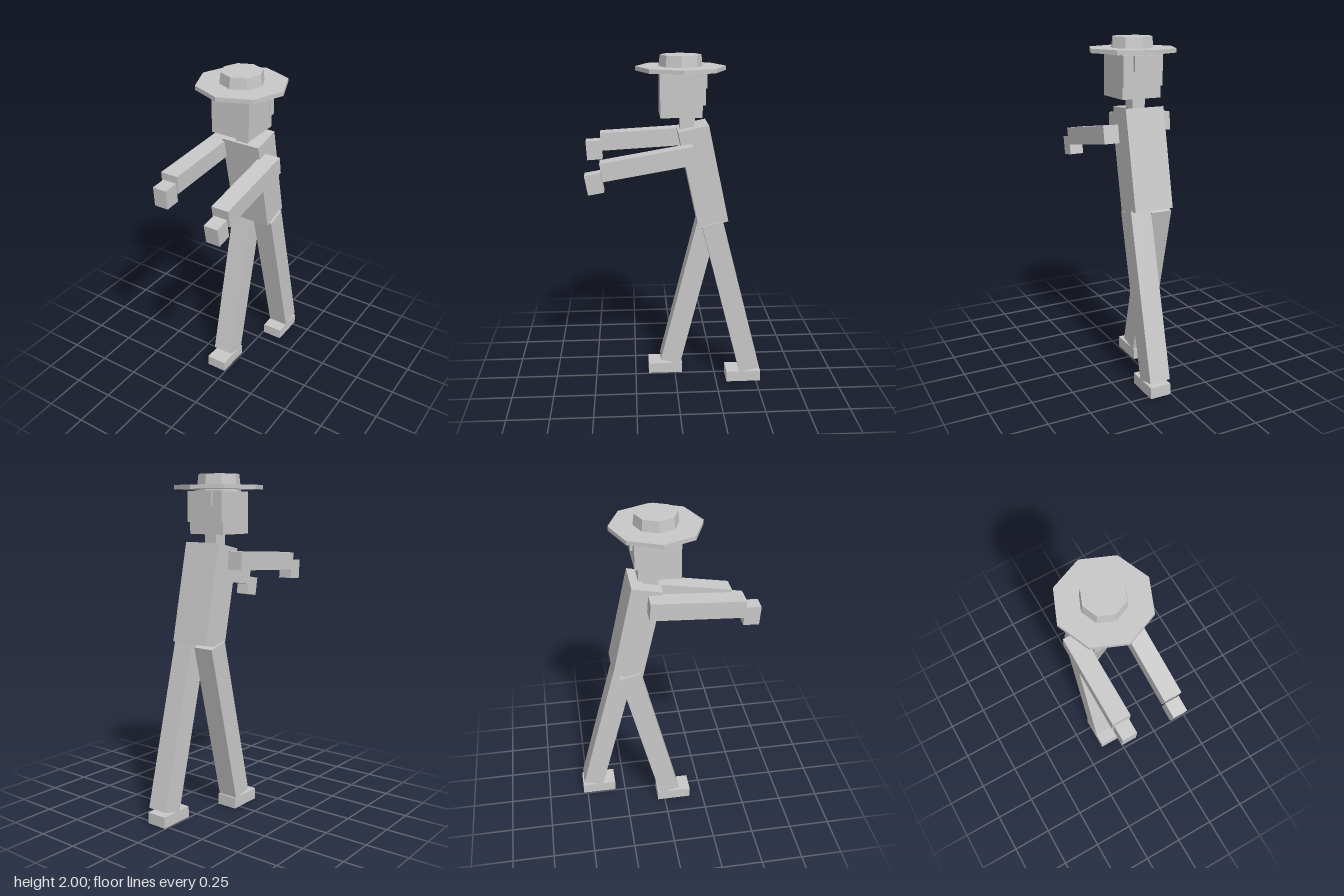
import * as THREE from 'three';

const deg = THREE.MathUtils.degToRad;

export function createModel() {
  const model = new THREE.Group();
  model.name = 'walkingFigure';

  const plainGrey = new THREE.MeshStandardMaterial({ color: 0xc8c8c8, flatShading: true });
  plainGrey.name = 'plainGrey';

  function add(name, geometry, position, tilt = 0, parent = model) {
    const mesh = new THREE.Mesh(geometry, plainGrey);
    mesh.name = name;
    mesh.position.set(...position);
    mesh.rotation.x = deg(tilt); // positive tilt leans the top forward
    parent.add(mesh);
    return mesh;
  }
  const box = (name, size, position, tilt, parent) =>
    add(name, new THREE.BoxGeometry(...size), position, tilt, parent);

  // Torso leaning into the stride
  box('torso', [0.24, 0.581, 0.178], [0, 1.313, -0.159], 12.1);

  // Neck, head and hair
  box('neck', [0.08, 0.11, 0.085], [0, 1.61, -0.068]);
  const head = new THREE.Group();
  head.name = 'head';
  model.add(head);
  box('skull', [0.24, 0.24, 0.238], [0, 1.78, -0.029], 0, head);
  box('backHair', [0.248, 0.175, 0.045], [0, 1.817, -0.143], 0, head);
  box('hairKnot', [0.12, 0.085, 0.03], [0, 1.858, -0.164], 0, head);

  // Eight-sided hat
  const hat = new THREE.Group();
  hat.name = 'hat';
  hat.position.z = -0.031;
  model.add(hat);
  add('hatBrim', new THREE.CylinderGeometry(0.258, 0.258, 0.024, 8), [0, 1.925, 0], 0, hat);
  add('hatCrown', new THREE.CylinderGeometry(0.118, 0.13, 0.102, 8), [0, 1.949, 0], 0, hat);

  // Arms reaching forward, the right one held higher
  const arms = [
    { side: 'left', x: 0.161, y: 1.417, z: 0.164, tilt: 9.8, hand: [1.305, 0.468] },
    { side: 'right', x: -0.161, y: 1.499, z: 0.169, tilt: 3.3, hand: [1.432, 0.477] },
  ];
  for (const a of arms) {
    box(a.side + 'Arm', [0.106, 0.105, 0.534], [a.x, a.y, a.z], a.tilt);
    box(a.side + 'Hand', [0.086, 0.114, 0.092], [a.x, ...a.hand], a.tilt);
  }

  // Legs in mid-step: right forward, left back
  const legs = [
    { side: 'left', x: 0.07, z: -0.335, tilt: 14.3, foot: -0.42 },
    { side: 'right', x: -0.07, z: -0.089, tilt: -13.8, foot: 0.061 },
  ];
  for (const l of legs) {
    box(l.side + 'Leg', [0.127, 0.988, 0.126], [l.x, 0.556, l.z], l.tilt);
    box(l.side + 'Foot', [0.127, 0.067, 0.212], [l.x, 0.0335, l.foot]);
  }

  return model;
}
